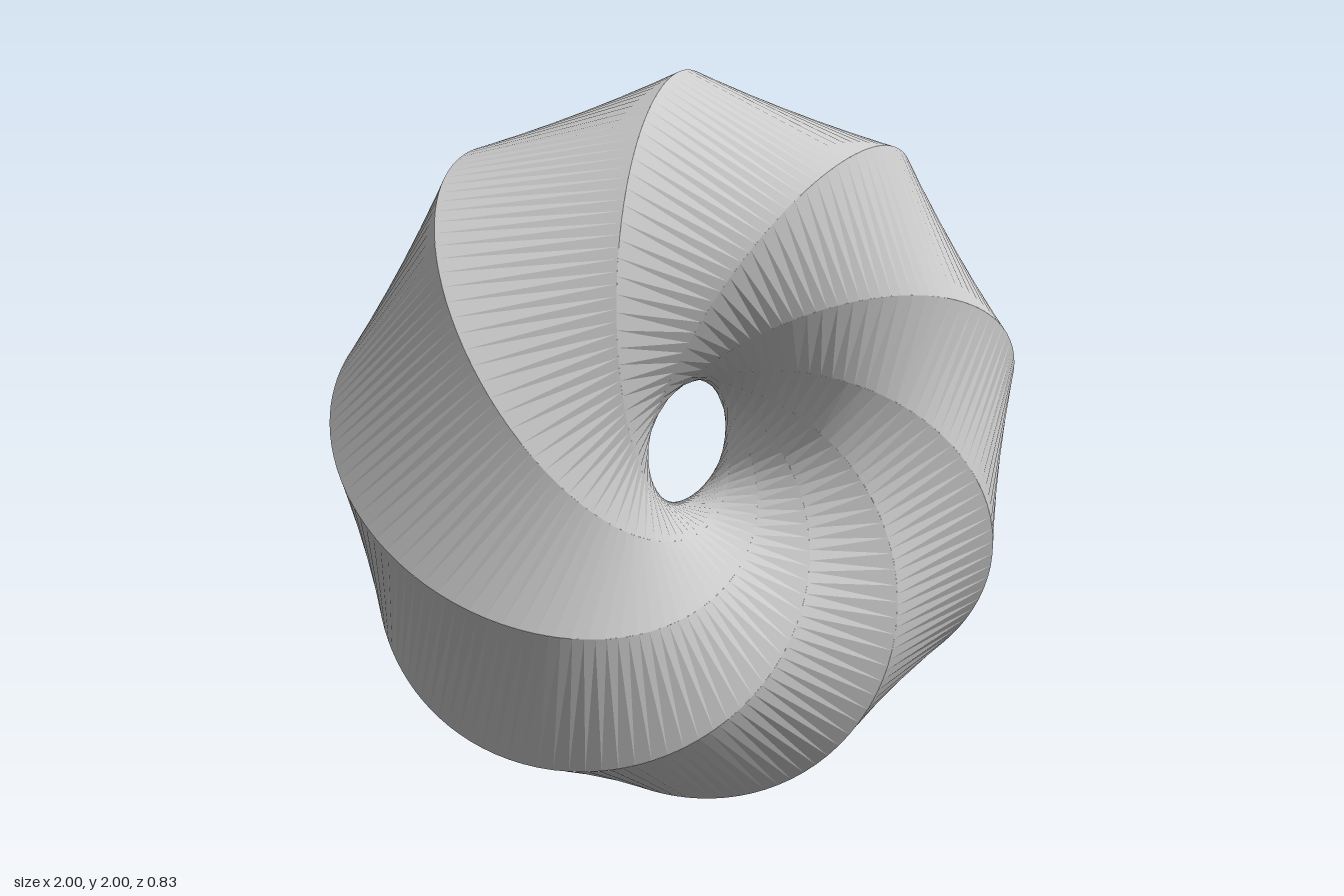
import * as THREE from 'three';

const BANDS = 8;                  // ridges and ruled bands around the ring
const STEPS = 120;                // facets along each band
const MINOR = Math.SQRT2 - 1;     // tube radius
const MAJOR = 2 - Math.SQRT2;     // ring radius
const material = new THREE.MeshStandardMaterial({ color: 0xcccccc, flatShading: true });

// Point on a tilted circle lying on the torus, at angle `off` from its outermost point
function ridgePoint(k, off) {
  const r = MAJOR / 2 / (1 - Math.SQRT1_2 * Math.cos(off));
  const a = (k / BANDS) * Math.PI * 2 + off;
  return [r * Math.cos(a), 1 + r * Math.sin(a), r * Math.sin(off)];
}

// Ruled surface between one ridge circle and the next, its rulings crossing them squarely
function bandGeometry(k) {
  const pos = [], idx = [];
  for (let i = 0; i <= STEPS; i++) {
    const u = (i / STEPS) * Math.PI * 2;
    const off = Math.atan2(MINOR * Math.sin(u), MINOR + MAJOR * Math.cos(u));
    pos.push(...ridgePoint(k, off), ...ridgePoint(k + 1, off - Math.PI / BANDS));
    if (i < STEPS) {
      const a = i * 2;
      idx.push(a, a + 1, a + 2, a + 1, a + 3, a + 2);
    }
  }
  const g = new THREE.BufferGeometry();
  g.setAttribute('position', new THREE.Float32BufferAttribute(pos, 3));
  g.setIndex(idx);
  const flat = g.toNonIndexed();
  flat.computeVertexNormals();
  return flat;
}

export function createModel() {
  const model = new THREE.Group();
  model.name = 'twistedRing';
  for (let k = 0; k < BANDS; k++) {
    const band = new THREE.Mesh(bandGeometry(k), material);
    band.name = `spiralBand${k + 1}`;
    model.add(band);
  }
  return model;
}
